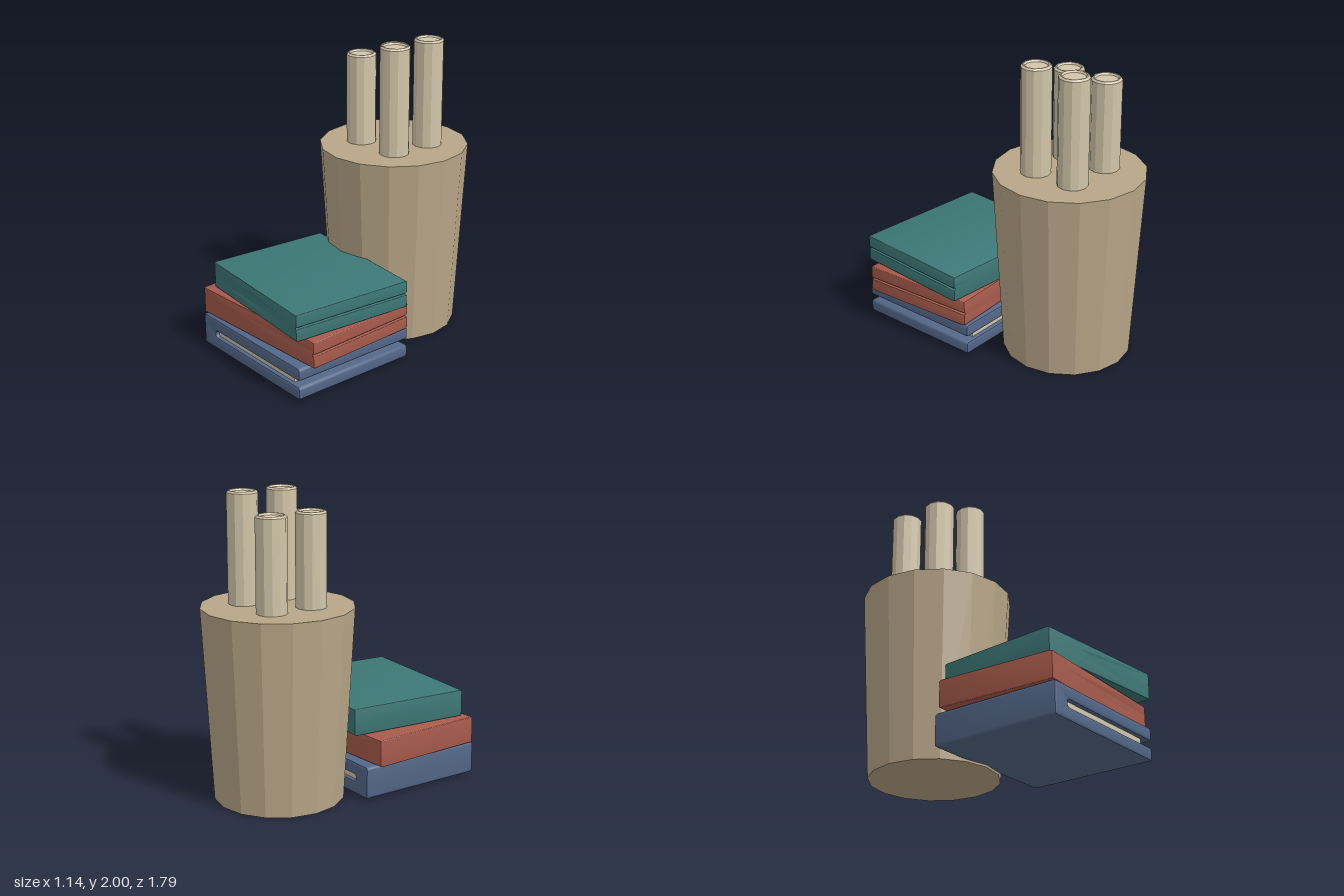
import * as THREE from 'three';
import { toCreasedNormals } from 'three/addons/utils/BufferGeometryUtils.js';

function material(name, color) {
  const m = new THREE.MeshStandardMaterial({ color });
  m.name = name;
  return m;
}

function faceted(geometry) {
  const g = geometry.toNonIndexed();
  g.computeVertexNormals();
  return g;
}

function mesh(name, geometry, mat, x = 0, y = 0, z = 0) {
  const m = new THREE.Mesh(geometry, mat);
  m.name = name;
  m.position.set(x, y, z);
  return m;
}

// Closed shape with every corner rounded by r
function roundedShape(points, r) {
  const shape = new THREE.Shape();
  const n = points.length;
  points.forEach((p, i) => {
    const a = points[(i + n - 1) % n], b = points[(i + 1) % n];
    const from = p.clone().add(a.clone().sub(p).setLength(r));
    const to = p.clone().add(b.clone().sub(p).setLength(r));
    if (i === 0) shape.moveTo(from.x, from.y);
    else shape.lineTo(from.x, from.y);
    shape.quadraticCurveTo(p.x, p.y, to.x, to.y);
  });
  shape.closePath();
  return shape;
}

// Book: C-shaped cover with the spine at -x, and a page block in the slot
function makeBook(name, { width, depth, height, gap, spine, cover, paper }) {
  const book = new THREE.Group();
  book.name = name;
  const w = width / 2, h = height / 2, s = gap / 2, inner = -w + spine, bevel = 0.015;
  const corners = [[-w, -h], [w, -h], [w, -s], [inner, -s], [inner, s], [w, s], [w, h], [-w, h]]
    .map(([x, y]) => new THREE.Vector2(x, y));
  // the slot end keeps tighter corners than the narrowest gap
  const shape = roundedShape(corners, Math.min(0.02, gap * 0.45));
  const geo = new THREE.ExtrudeGeometry(shape, {
    depth: depth - 2 * bevel, bevelEnabled: true, bevelThickness: bevel,
    bevelSize: bevel, bevelOffset: -bevel, bevelSegments: 2, curveSegments: 3,
  });
  geo.translate(0, 0, bevel - depth / 2);
  book.add(mesh('cover', toCreasedNormals(geo, 0.7), cover));
  const pageWidth = width - spine - 0.085;
  book.add(mesh('pages', new THREE.BoxGeometry(pageWidth, gap, depth - 0.06), paper,
    inner + pageWidth / 2, 0, 0));
  return book;
}

export function createModel() {
  const model = new THREE.Group();
  model.name = 'potAndBooks';
  const clay = material('clay', 0xb8a688);
  const paper = material('paper', 0xd2c6aa);
  const blue = material('blueCover', 0x536788);
  const red = material('redCover', 0xa85b4c);
  const teal = material('tealCover', 0x3c7876);

  // Tapered pot
  const potHeight = 1.275;
  model.add(mesh('pot', faceted(new THREE.CylinderGeometry(0.498, 0.428, potHeight, 16)),
    clay, -0.067, potHeight / 2, -0.4));

  // Paper rolls standing on the pot, taller pair on the left
  for (const [x, top] of [[-0.232, 1.89], [0.1, 2]]) {
    for (const z of [-0.255, -0.55]) {
      const h = top - potHeight;
      const profile = [[0.1, 0], [0.1, h - 0.012], [0.088, h], [0.08, h],
        [0.072, h - 0.012], [0.058, h - 0.012], [0, h - 0.012]]
        .map(([r, y]) => new THREE.Vector2(r, y));
      model.add(mesh('paperRoll', faceted(new THREE.LatheGeometry(profile, 12)),
        paper, x, potHeight, z));
    }
  }

  // Stack of three books, each turned a little
  const books = [
    ['bottomBook', { width: 1.035, depth: 0.9, height: 0.216, gap: 0.044, spine: 0.13, cover: blue },
      [-0.003, 0.123, 0.43], 0],
    ['middleBook', { width: 1.1, depth: 0.82, height: 0.18, gap: 0.012, spine: 0.12, cover: red },
      [0, 0.325, 0.43], 0.055],
    ['topBook', { width: 0.983, depth: 0.857, height: 0.18, gap: 0.012, spine: 0.12, cover: teal },
      [0.0475, 0.51, 0.425], -0.077],
  ];
  for (const [name, options, position, turn] of books) {
    const book = makeBook(name, { ...options, paper });
    book.position.set(...position);
    book.rotation.y = turn;
    model.add(book);
  }
  return model;
}
